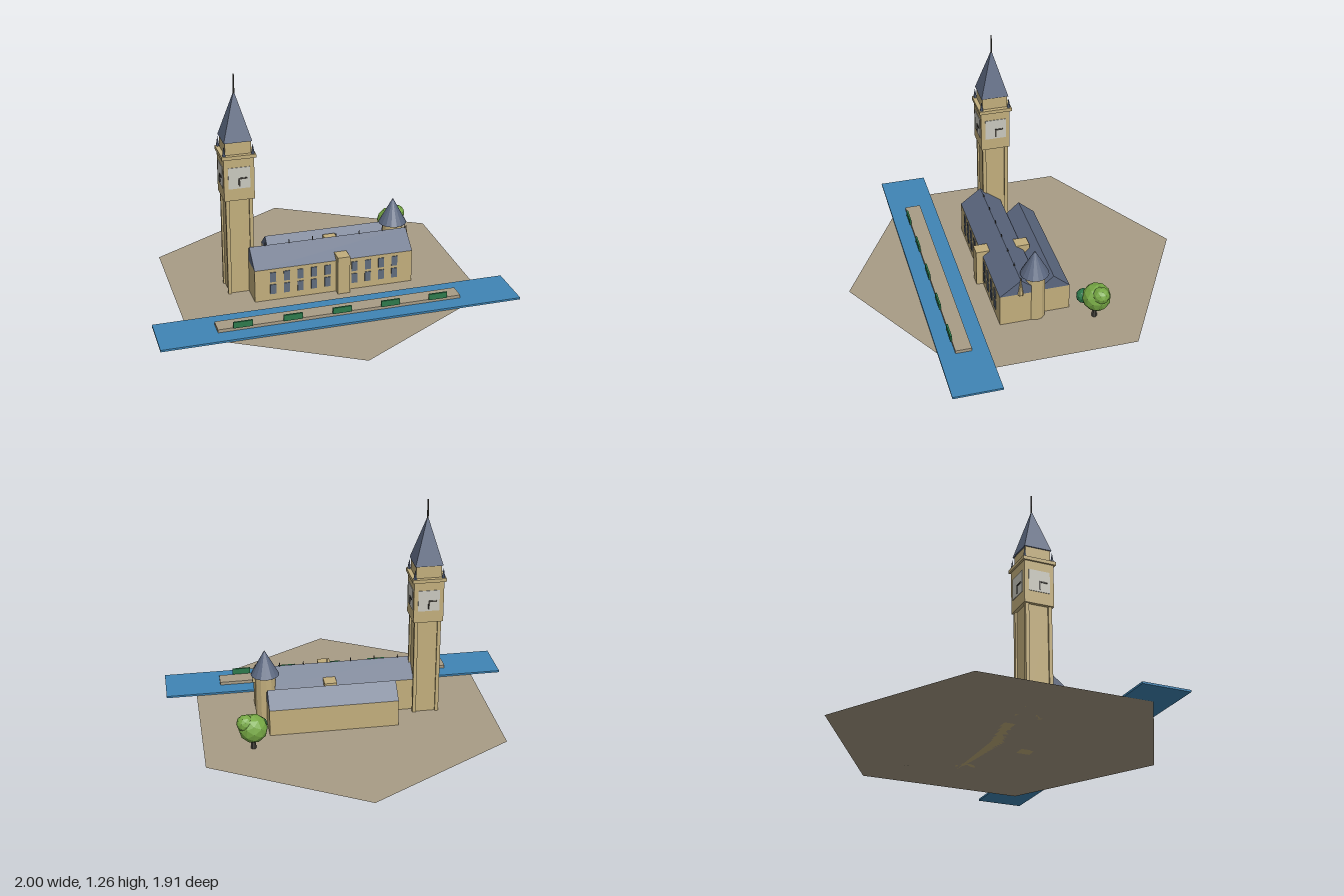
import * as THREE from 'three';

const mat = (name, color, extra = {}) => {
  const m = new THREE.MeshStandardMaterial({ color, flatShading: true, ...extra });
  m.name = name;
  return m;
};

export function createModel() {
  const root = new THREE.Group();
  root.name = 'riversideClockTower';

  const stone = mat('stone', 0xc2ae7c);
  const paving = mat('paving', 0xa89c86, { side: THREE.DoubleSide });
  const water = mat('water', 0x3f85b5);
  const slate = mat('slate', 0x5c6880);
  const glass = mat('windowGlass', 0x5f6b7c);
  const dial = mat('clockDial', 0xc9c8be);
  const iron = mat('darkIron', 0x45423c);
  const hedgeGreen = mat('hedgeGreen', 0x2c7a4b);
  const leafGreen = mat('leafGreen', 0x76a844);

  const add = (name, geo, material, x = 0, y = 0, z = 0, parent = root) => {
    const mesh = new THREE.Mesh(geo, material);
    mesh.name = name;
    mesh.position.set(x, y, z);
    parent.add(mesh);
    return mesh;
  };
  // box given by its centre on the ground plan and its bottom and top heights
  const block = (name, material, x, z, w, d, y0, y1, parent = root) =>
    add(name, new THREE.BoxGeometry(w, y1 - y0, d), material, x, (y0 + y1) / 2, z, parent);
  // cone or cylinder standing on y0
  const round = (name, material, x, z, r0, r1, y0, y1, sides, parent = root) =>
    add(name, new THREE.CylinderGeometry(r1, r0, y1 - y0, sides), material, x, (y0 + y1) / 2, z, parent);

  // hexagonal ground
  add('ground', new THREE.CircleGeometry(0.953, 6, Math.PI / 2).rotateX(-Math.PI / 2), paving);

  // river, terrace and hedges
  block('river', water, 0, 0.45, 2, 0.27, 0.003, 0.014);
  block('terrace', paving, 0, 0.45, 1.36, 0.09, 0.014, 0.032);
  for (let i = -2; i <= 2; i++) block('hedge', hedgeGreen, i * 0.273, 0.499, 0.105, 0.01, 0.032, 0.067);

  // halls with pitched roofs
  const hall = (name, x0, x1, zc, half, eave, ridge) => {
    const g = new THREE.Group();
    g.name = name;
    root.add(g);
    block('walls', stone, (x0 + x1) / 2, zc, x1 - x0, half * 2, 0, eave, g);
    const gable = new THREE.Shape([
      new THREE.Vector2(-half, 0), new THREE.Vector2(half, 0), new THREE.Vector2(0, ridge - eave),
    ]);
    const geo = new THREE.ExtrudeGeometry(gable, { depth: x1 - x0, bevelEnabled: false });
    add('roof', geo.rotateY(Math.PI / 2), slate, x0, eave, zc, g);
    return g;
  };
  const front = hall('frontHall', -0.41, 0.5, 0.087, 0.118, 0.19, 0.28);
  hall('rearHall', -0.272, 0.452, -0.111, 0.092, 0.155, 0.236);

  // two rows of windows on the river side
  for (let i = 0; i < 10; i++)
    for (const y of [0.038, 0.112])
      block('window', glass, -0.307 + i * 0.078, 0.206, 0.034, 0.006, y, y + 0.058, front);

  // ridge spikes and gable pinnacle
  for (let i = 0; i < 7; i++)
    round('ridgeSpike', iron, -0.32 + i * 0.136, 0.087, 0.004, 0.002, 0.275, 0.298, 5, front);
  round('gablePinnacle', stone, 0.503, 0.09, 0.016, 0, 0.19, 0.3, 6, front);

  // porch and middle block
  block('porch', stone, 0.089, 0.204, 0.07, 0.078, 0, 0.223);
  block('middleBlock', stone, 0.089, -0.026, 0.07, 0.078, 0, 0.223);

  // round corner turret
  const turret = new THREE.Group();
  turret.name = 'turret';
  turret.position.set(0.452, 0, -0.002);
  root.add(turret);
  round('turretBody', stone, 0, 0, 0.058, 0.058, 0, 0.285, 12, turret);
  round('turretRoof', slate, 0, 0, 0.08, 0, 0.282, 0.43, 16, turret);

  // clock tower
  const tower = new THREE.Group();
  tower.name = 'clockTower';
  tower.position.set(-0.455, 0, 0);
  root.add(tower);
  block('shaft', stone, 0, 0, 0.13, 0.13, 0, 0.575, tower);
  block('clockStage', stone, 0, 0, 0.168, 0.168, 0.57, 0.812, tower);
  block('ledge', stone, 0, 0, 0.188, 0.188, 0.812, 0.832, tower);
  block('belfry', stone, 0, 0, 0.142, 0.142, 0.832, 0.905, tower);
  const spire = round('spire', slate, 0, 0, 0.078 * Math.SQRT2, 0, 0.902, 1.168, 4, tower);
  spire.rotation.y = Math.PI / 4;
  round('finial', iron, 0, 0, 0.005, 0.004, 1.15, 1.262, 6, tower);
  for (const sx of [-1, 1])
    for (const sz of [-1, 1]) {
      block('cornerPost', stone, sx * 0.065, sz * 0.065, 0.02, 0.02, 0, 0.572, tower);
      round('pinnacle', slate, sx * 0.079, sz * 0.079, 0.01, 0, 0.832, 0.89, 6, tower);
    }
  // same clock on all four sides
  for (let i = 0; i < 4; i++) {
    const clock = new THREE.Group();
    clock.name = 'clock';
    clock.rotation.y = (i * Math.PI) / 2;
    tower.add(clock);
    block('dial', dial, 0, 0.084, 0.12, 0.006, 0.64, 0.762, clock);
    block('hourHand', iron, 0.02, 0.088, 0.048, 0.005, 0.694, 0.702, clock);
    block('minuteHand', iron, 0, 0.088, 0.008, 0.005, 0.652, 0.702, clock);
  }

  // tree
  const tree = new THREE.Group();
  tree.name = 'tree';
  root.add(tree);
  round('trunk', iron, 0.555, -0.315, 0.016, 0.01, 0, 0.09, 7, tree);
  const clump = (material, x, y, z, r) =>
    add('foliage', new THREE.IcosahedronGeometry(r, 1), material, x, y, z, tree);
  clump(leafGreen, 0.555, 0.128, -0.325, 0.08);
  clump(leafGreen, 0.598, 0.168, -0.335, 0.048);
  clump(hedgeGreen, 0.512, 0.115, -0.265, 0.042);

  return root;
}
